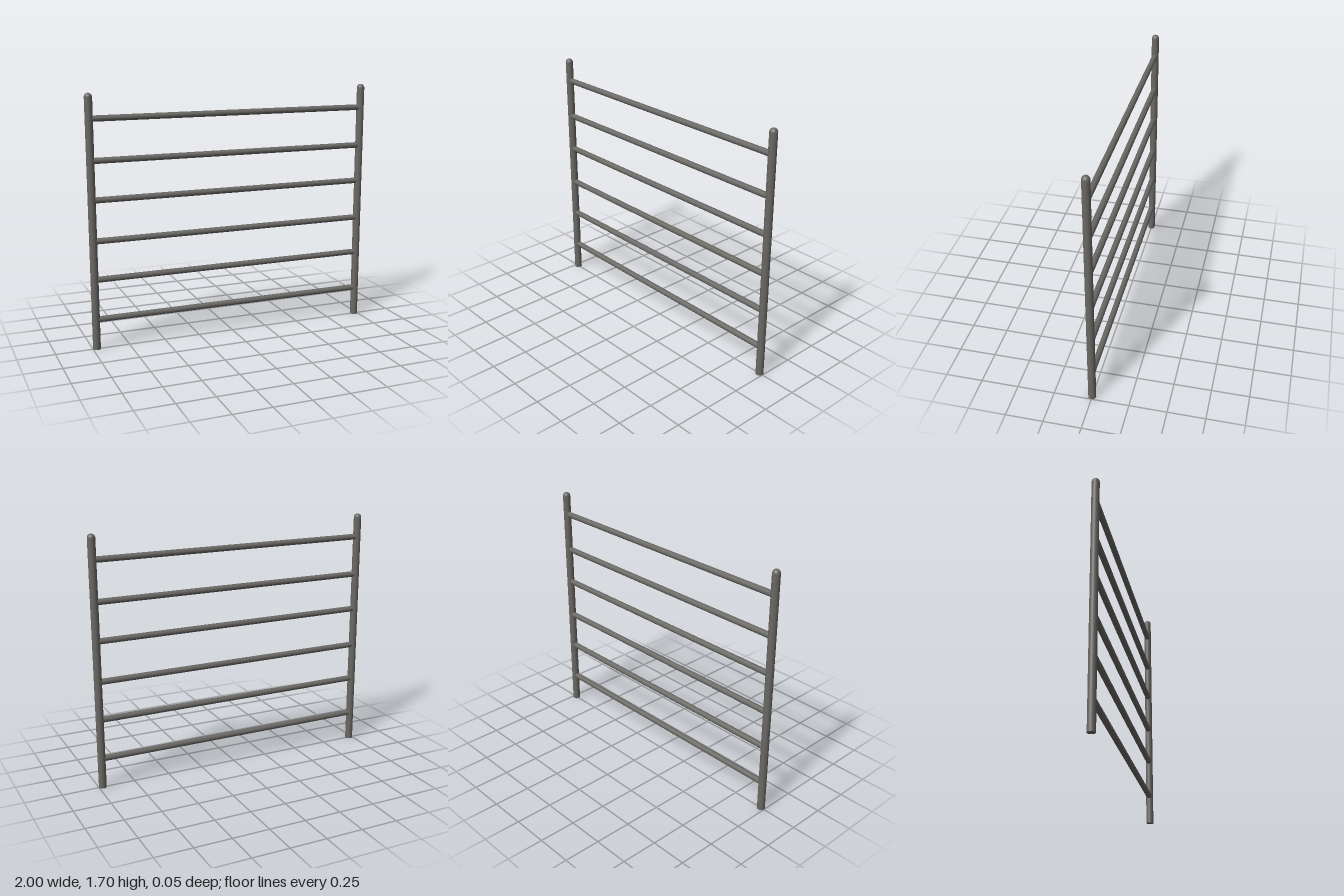
import * as THREE from 'three';

const POST_RADIUS = 0.026;
const POST_HEIGHT = 1.7;
const POST_X = 1 - POST_RADIUS;
const RAIL_RADIUS = 0.02;
const RAIL_HEIGHTS = [0.205, 0.478, 0.738, 1.01, 1.267, 1.537];

export function createModel() {
  const group = new THREE.Group();
  group.name = 'railFence';

  const steel = new THREE.MeshStandardMaterial({ color: 0x6a6864 });
  steel.name = 'dark grey steel';

  // Upright posts: straight tube, flat foot, domed top
  const shoulder = POST_HEIGHT - POST_RADIUS;
  const shaftGeometry = new THREE.CylinderGeometry(POST_RADIUS, POST_RADIUS, shoulder, 32);
  const domeGeometry = new THREE.SphereGeometry(POST_RADIUS, 32, 10, 0, Math.PI * 2, 0, Math.PI / 2);
  for (const side of [-1, 1]) {
    const post = new THREE.Group();
    post.name = side > 0 ? 'leftPost' : 'rightPost';
    post.position.x = side * POST_X;

    const shaft = new THREE.Mesh(shaftGeometry, steel);
    shaft.name = 'postShaft';
    shaft.position.y = shoulder / 2;

    const dome = new THREE.Mesh(domeGeometry, steel);
    dome.name = 'postDome';
    dome.position.y = shoulder;

    post.add(shaft, dome);
    group.add(post);
  }

  // Horizontal rails, ending inside the posts
  const railGeometry = new THREE.CylinderGeometry(RAIL_RADIUS, RAIL_RADIUS, POST_X * 2, 32, 1, true);
  railGeometry.rotateZ(Math.PI / 2);
  RAIL_HEIGHTS.forEach((y, i) => {
    const rail = new THREE.Mesh(railGeometry, steel);
    rail.name = `rail${i + 1}`;
    rail.position.y = y;
    group.add(rail);
  });

  return group;
}
